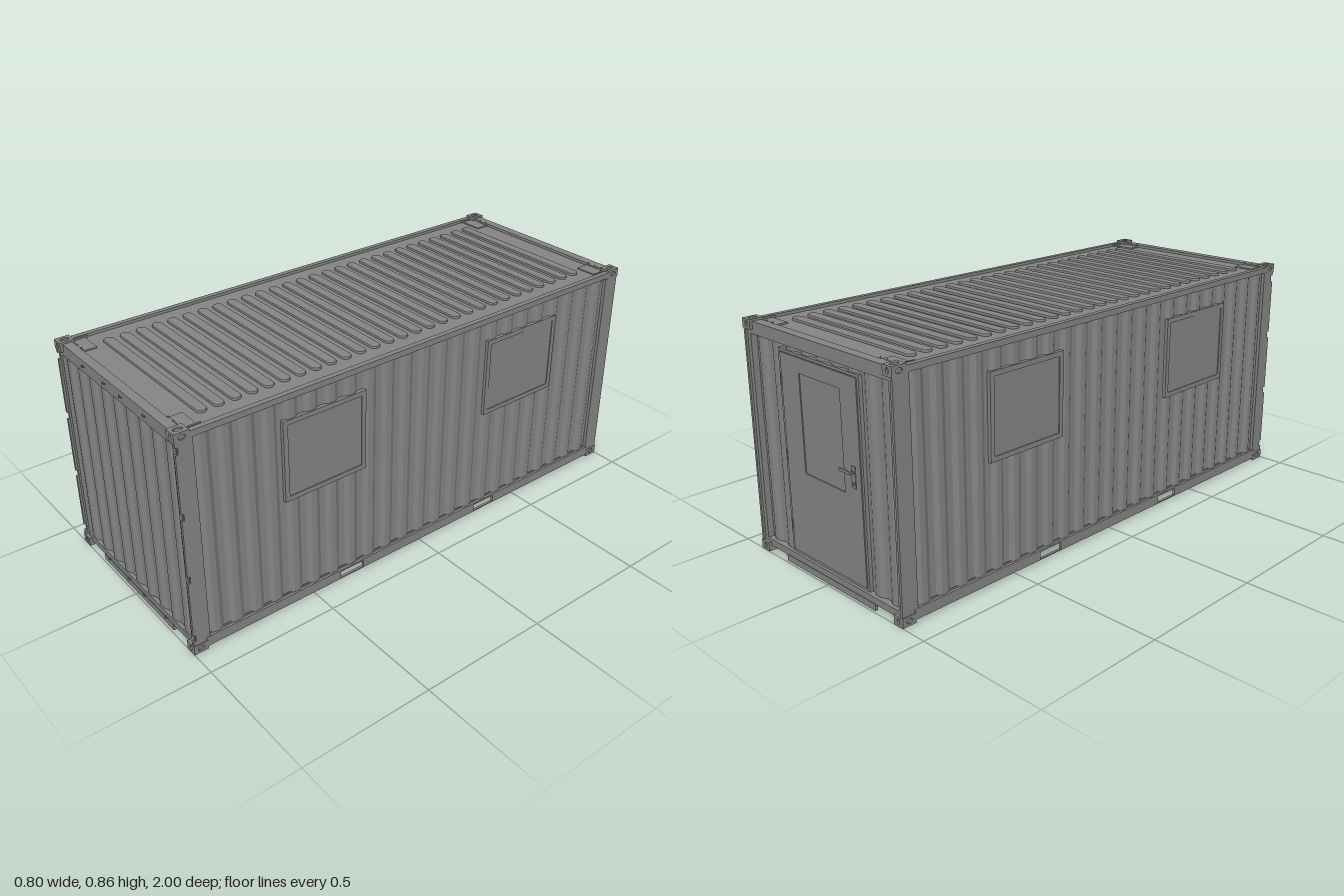
import * as THREE from 'three';

const mat = new THREE.MeshStandardMaterial({ color: 0x858585, flatShading: true });

function add(parent, name, geo, x = 0, y = 0, z = 0) {
  const m = new THREE.Mesh(geo, mat);
  m.name = name;
  m.position.set(x, y, z);
  parent.add(m);
  return m;
}

// box given by its limits on each axis
function box(parent, name, x0, x1, y0, y1, z0, z1) {
  const g = new THREE.BoxGeometry(Math.abs(x1 - x0), Math.abs(y1 - y0), Math.abs(z1 - z0));
  return add(parent, name, g, (x0 + x1) / 2, (y0 + y1) / 2, (z0 + z1) / 2);
}

function rectPoints(x0, x1, y0, y1) {
  return [[x0, y0], [x1, y0], [x1, y1], [x0, y1]].map(([x, y]) => new THREE.Vector2(x, y));
}

// flat plate with rectangular holes, centred in depth
function holedPlate(outer, holes, depth) {
  const s = new THREE.Shape(rectPoints(...outer));
  holes.forEach(h => s.holes.push(new THREE.Path(rectPoints(...h))));
  return new THREE.ExtrudeGeometry(s, { depth, bevelEnabled: false }).translate(0, 0, -depth / 2);
}

// plate with an oval hole, for the corner castings
function ovalPlate(w, h, t, rx, ry) {
  const s = new THREE.Shape(rectPoints(-w / 2, w / 2, -h / 2, h / 2));
  s.holes.push(new THREE.Path().absellipse(0, 0, rx, ry, 0, Math.PI * 2));
  return new THREE.ExtrudeGeometry(s, { depth: t, bevelEnabled: false, curveSegments: 8 }).translate(0, 0, -t / 2);
}

// trapezoid corrugated sheet facing +z, outer flats at z = 0
function corrugated(length, height, depth = 0.0095) {
  const n = Math.round(length / 0.0833), p = length / n;
  const pts = [[-length / 2, depth]];
  for (let i = 0; i < n; i++) {
    const u = -length / 2 + i * p;
    pts.push([u + p * 0.14, depth], [u + p * 0.36, 0], [u + p * 0.63, 0], [u + p * 0.85, depth]);
  }
  pts.push([length / 2, depth], [length / 2, depth + 0.006], [-length / 2, depth + 0.006]);
  const s = new THREE.Shape(pts.map(([x, y]) => new THREE.Vector2(x, y)));
  return new THREE.ExtrudeGeometry(s, { depth: height, bevelEnabled: false }).rotateX(-Math.PI / 2);
}

function castings(root) {
  const w = 0.045, h = 0.035, d = 0.055, t = 0.006;
  for (const sx of [-1, 1]) for (const sz of [-1, 1]) for (const top of [0, 1]) {
    const g = new THREE.Group();
    g.name = 'cornerCasting';
    g.position.set(sx * (0.4 - w / 2), top ? 0.857 - h / 2 : h / 2, sz * (1 - d / 2));
    const sy = top ? 1 : -1;
    add(g, 'castingCore', new THREE.BoxGeometry(w - t, h - t, d - t), -sx * t / 2, -sy * t / 2, -sz * t / 2);
    add(g, 'castingEndPlate', ovalPlate(w, h, t, 0.007, 0.011), 0, 0, sz * (d - t) / 2);
    add(g, 'castingSidePlate', ovalPlate(d, h, t, 0.013, 0.009).rotateY(Math.PI / 2), sx * (w - t) / 2, 0, 0);
    add(g, 'castingCapPlate', ovalPlate(w, d, t, 0.010, 0.017).rotateX(Math.PI / 2), 0, sy * (h - t) / 2, 0);
    root.add(g);
  }
}

function frame(root) {
  const notches = [0.067, 0.31, 0.555, 0.795];
  for (const sx of [-1, 1]) {
    for (const sz of [-1, 1]) {
      // stepped corner post
      box(root, 'cornerPost', sx * 0.37, sx * 0.388, 0.03, 0.83, sz * 0.955, sz * 0.99);
      box(root, 'cornerPost', sx * 0.385, sx * 0.398, 0.03, 0.83, sz * 0.935, sz * 0.988);
      if (sz < 0) box(root, 'postEdge', sx * 0.388, sx * 0.398, 0.03, 0.83, -0.985, -0.998);
    }
    // front post edge, notched for the lashing bars
    const cuts = [0.03, ...notches.flatMap(y => [y - 0.013, y + 0.013]), 0.83];
    for (let i = 0; i < cuts.length; i += 2)
      box(root, 'postEdge', sx * 0.388, sx * 0.398, cuts[i], cuts[i + 1], 0.985, 0.998);
    for (const y of notches)
      add(root, 'lashingBar', new THREE.CylinderGeometry(0.0025, 0.0025, 0.028, 6), sx * 0.393, y, 0.99);
    // side rails; the lower one has fork pockets
    box(root, 'topSideRail', sx * 0.38, sx * 0.4, 0.828, 0.85, -0.95, 0.95);
    const rail = holedPlate([-0.95, 0.95, 0.01, 0.048],
      [[-0.385, -0.28, 0.014, 0.041], [0.277, 0.382, 0.014, 0.041]], 0.01);
    add(root, 'bottomSideRail', rail.rotateY(Math.PI / 2), sx * 0.394, 0, 0);
  }
  for (const sz of [-1, 1]) {
    box(root, 'endHeader', -0.37, 0.37, 0.805, 0.85, sz * 0.955, sz * 0.99);
    box(root, 'endSill', -0.37, 0.37, 0.022, 0.047, sz * 0.95, sz * 0.99);
    box(root, 'sillSkirt', -0.25, 0.25, 0, 0.024, sz * 0.982, sz * 0.992);
  }
  // lashing rings on the front header and sill
  for (const x of [-0.205, -0.057, 0.055, 0.205]) for (const y of [0.83, 0.028])
    add(root, 'lashingRing', new THREE.TorusGeometry(0.008, 0.002, 5, 8, Math.PI).rotateX(Math.PI / 2), x, y, 0.989);
}

function walls(root) {
  for (const s of [-1, 1]) {
    add(root, 'sideWall', corrugated(1.88, 0.788), s * 0.392, 0.045, 0).rotation.y = s * Math.PI / 2;
    // windows sit in the opposite order on the two sides
    for (const [a, b] of [[0.27, 0.61], [-0.66, -0.3]]) {
      const g = new THREE.Group(), w = b - a;
      g.name = 'window';
      g.position.set(s * 0.385, 0.597, s * (a + b) / 2);
      g.rotation.y = s * Math.PI / 2;
      const hw = w / 2, hh = 0.155, r = 0.018;
      add(g, 'windowFrame', holedPlate([-hw, hw, -hh, hh], [[-hw + r, hw - r, -hh + r, hh - r]], 0.023));
      add(g, 'windowPane', new THREE.BoxGeometry(w - r, 0.31 - r, 0.0165));
      root.add(g);
    }
  }
  add(root, 'frontWall', corrugated(0.75, 0.765), 0, 0.043, 0.986);
  add(root, 'backWall', corrugated(0.75, 0.765), 0, 0.043, -0.976).rotation.y = Math.PI;
}

function door(root) {
  const g = new THREE.Group();
  g.name = 'door';
  add(g, 'doorFrame', holedPlate([-0.21, 0.225, 0.045, 0.785], [[-0.2, 0.215, 0.055, 0.775]], 0.024), 0, 0, -0.968);
  add(g, 'doorLeaf', holedPlate([-0.198, 0.213, 0.057, 0.773], [[-0.11, 0.11, 0.37, 0.72]], 0.025), 0, 0, -0.97);
  box(g, 'doorPane', -0.115, 0.115, 0.365, 0.725, -0.979, -0.96);
  for (const y of [0.15, 0.41, 0.68])
    add(g, 'hinge', new THREE.CylinderGeometry(0.004, 0.004, 0.04, 8), 0.214, y, -0.982);
  // lever handle on its back plate
  box(g, 'handlePlate', -0.172, -0.152, 0.4, 0.475, -0.985, -0.98);
  add(g, 'handleStem', new THREE.CylinderGeometry(0.005, 0.005, 0.018, 8).rotateX(Math.PI / 2), -0.162, 0.455, -0.99);
  box(g, 'handleLever', -0.167, -0.105, 0.45, 0.46, -1, -0.994);
  add(g, 'lockCylinder', new THREE.CylinderGeometry(0.005, 0.005, 0.008, 8).rotateX(Math.PI / 2), -0.162, 0.415, -0.986);
  root.add(g);
}

function roof(root) {
  box(root, 'roofPanel', -0.385, 0.385, 0.83, 0.839, -0.96, 0.96);
  // row of pressed ribs with rounded ends
  const r = 0.016, e = 0.299;
  const s = new THREE.Shape();
  s.absarc(e, 0, r, -Math.PI / 2, Math.PI / 2);
  s.absarc(-e, 0, r, Math.PI / 2, Math.PI * 1.5);
  const rib = new THREE.ExtrudeGeometry(s, { depth: 0.004, curveSegments: 8,
    bevelThickness: 0.004, bevelSize: 0.003, bevelSegments: 2 }).rotateX(-Math.PI / 2);
  for (let i = 0; i < 28; i++) add(root, 'roofRib', rib, 0, 0.8405, -0.848 + i * 0.0627);
  // corner gussets with raised edges and small studs
  for (const sx of [-1, 1]) for (const sz of [-1, 1]) {
    box(root, 'roofGusset', sx * 0.28, sx * 0.382, 0.838, 0.844, sz * 0.9, sz * 0.957);
    box(root, 'gussetEdge', sx * 0.285, sx * 0.335, 0.842, 0.85, sz * 0.95, sz * 0.957);
    box(root, 'gussetEdge', sx * 0.369, sx * 0.376, 0.842, 0.85, sz * 0.89, sz * 0.94);
    for (const x of [0.29, 0.322])
      add(root, 'gussetStud', new THREE.ConeGeometry(0.005, 0.008, 6), sx * x, 0.853, sz * 0.953);
  }
}

function base(root) {
  box(root, 'floor', -0.387, 0.387, 0.044, 0.052, -0.96, 0.96);
  // channel cross members, left out where the forks pass
  for (let i = 0; i < 23; i++) {
    const z = -0.902 + i * 0.082;
    if (Math.abs(Math.abs(z) - 0.331) < 0.08) continue;
    box(root, 'crossMember', -0.389, 0.389, 0.012, 0.045, z - 0.003, z + 0.003);
    box(root, 'crossMemberFlange', -0.389, 0.389, 0.012, 0.016, z, z + 0.024);
  }
}

export function createModel() {
  const root = new THREE.Group();
  root.name = 'containerCabin';
  [castings, frame, walls, door, roof, base].forEach(build => build(root));
  return root;
}
